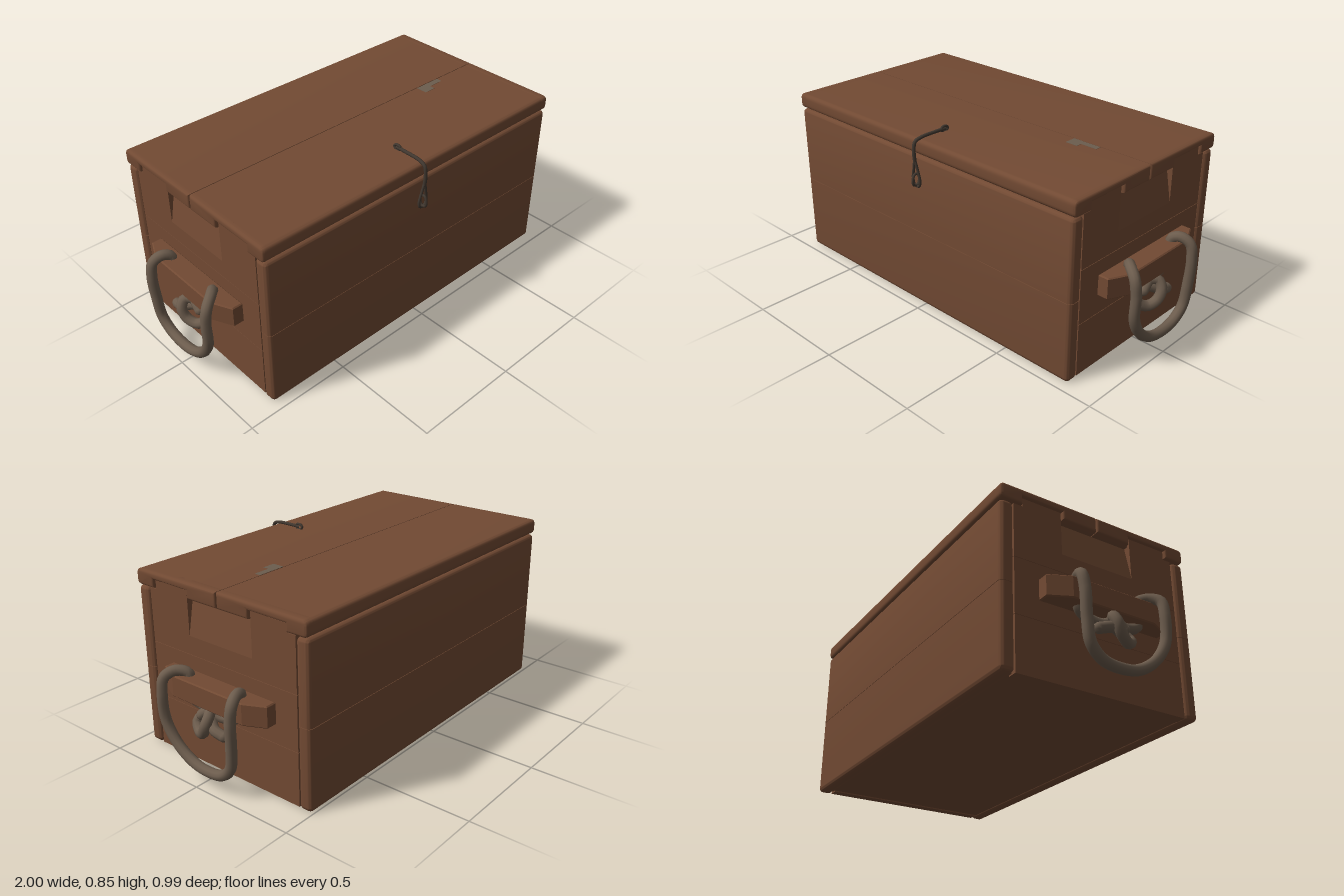
import * as THREE from 'three';
import { toCreasedNormals } from 'three/addons/utils/BufferGeometryUtils.js';
import { RoundedBoxGeometry } from 'three/addons/geometries/RoundedBoxGeometry.js';

const material = (name, color) => {
  const m = new THREE.MeshStandardMaterial({ color });
  m.name = name;
  return m;
};

export function createModel() {
  const wood = material('brown wood', 0x724a33);
  const rope = material('grey brown rope', 0x6c5c4d);
  const iron = material('dark iron', 0x40372f);
  const worn = material('worn wood', 0x6b5d4e);

  const chest = new THREE.Group();
  chest.name = 'chest';
  const add = (name, geometry, mat, parent = chest) => {
    const mesh = new THREE.Mesh(geometry, mat);
    mesh.name = name;
    parent.add(mesh);
    return mesh;
  };
  const box = (x0, x1, y0, y1, z0, z1) =>
    new THREE.BoxGeometry(x1 - x0, y1 - y0, z1 - z0)
      .translate((x0 + x1) / 2, (y0 + y1) / 2, (z0 + z1) / 2);

  // Extrude a (z, y) outline along x, with optional rounded ends
  const alongX = (shape, x0, x1, bevel = 0) => {
    const g = new THREE.ExtrudeGeometry(shape, {
      depth: x1 - x0 - 2 * bevel, bevelEnabled: bevel > 0, bevelThickness: bevel,
      bevelSize: bevel, bevelOffset: -bevel, bevelSegments: 3, curveSegments: 5,
    });
    g.translate(0, 0, bevel).rotateY(-Math.PI / 2).translate(x1, 0, 0);
    return toCreasedNormals(g, 0.6);
  };
  const polygon = (points) => new THREE.Shape(points.map((p) => new THREE.Vector2(...p)));

  // Long board: rounded everywhere except the edge at the seam, which is cut flat
  const longBoard = (y0, y1, z0, z1, seamOnTop) => {
    const r = 0.02;
    const lo = seamOnTop ? y0 : y0 - r, hi = seamOnTop ? y1 + r : y1;
    const g = new RoundedBoxGeometry(1.7, hi - lo, z1 - z0, 4, r);
    g.translate(0, (lo + hi) / 2, (z0 + z1) / 2);
    const p = g.attributes.position;
    for (let i = 0; i < p.count; i++) p.setY(i, THREE.MathUtils.clamp(p.getY(i), y0, y1));
    return toCreasedNormals(g, 0.6);
  };
  for (const [name, z0, z1] of [['front', 0.392, 0.455], ['back', -0.495, -0.432]]) {
    add(name + 'LowerBoard', longBoard(0.003, 0.374, z0, z1, true), wood);
    add(name + 'UpperBoard', longBoard(0.376, 0.745, z0, z1, false), wood);
  }
  add('floor', box(-0.815, 0.815, 0.012, 0.05, -0.435, 0.395), wood);

  // Lid halves: a plain middle slab and end pieces notched over the end tabs
  const lidShape = (inner, outer, notch) => {
    const s = Math.sign(outer - inner), r = 0.022, y0 = 0.75, y1 = 0.82;
    const shape = new THREE.Shape();
    shape.moveTo(inner, y0);
    if (notch) {
      shape.lineTo(notch[0], y0);
      shape.lineTo(notch[0], 0.787);
      shape.lineTo(notch[1], 0.787);
      shape.lineTo(notch[1], y0);
    }
    shape.lineTo(outer - s * r, y0);
    shape.quadraticCurveTo(outer, y0, outer, y0 + r);
    shape.lineTo(outer, y1 - r);
    shape.quadraticCurveTo(outer, y1, outer - s * r, y1);
    shape.lineTo(inner, y1);
    shape.closePath();
    return shape;
  };
  for (const [name, inner, outer, notch] of [
    ['frontLid', -0.0185, 0.455, [0.152, 0.353]],
    ['backLid', -0.0215, -0.495, [-0.193, -0.389]],
  ]) {
    add(name + 'Slab', alongX(lidShape(inner, outer), -0.828, 0.828), wood);
    for (const [x0, x1] of [[0.8, 0.855], [-0.855, -0.8]]) {
      add(name + 'NotchedEnd', alongX(lidShape(inner, outer, notch), x0, x1, 0.012), wood);
    }
  }

  // Worn patches on the lid
  add('lidWornPatch', box(0.46, 0.6, 0.8195, 0.821, -0.017, 0.012), worn);
  add('lidWornPatchTip', box(0.46, 0.52, 0.8195, 0.821, 0.012, 0.04), worn);

  for (const side of [1, -1]) {
    const end = new THREE.Group();
    end.name = side > 0 ? 'leftEnd' : 'rightEnd';
    chest.add(end);
    const span = (a, b) => (side > 0 ? [a, b] : [-b, -a]);
    const [x0, x1] = span(0.8, 0.842);

    // End boards, the top one with two tabs and a sloping finger scoop
    add('endLowerBoard', box(x0, x1, 0.006, 0.249, -0.428, 0.388), wood, end);
    add('endMiddleBoard', box(x0, x1, 0.251, 0.499, -0.428, 0.388), wood, end);
    add('endTopBoard', alongX(polygon([
      [0.388, 0.501], [0.388, 0.745], [0.35, 0.745], [0.35, 0.784], [0.16, 0.784], [0.16, 0.585],
      [-0.198, 0.585], [-0.198, 0.784], [-0.386, 0.784], [-0.386, 0.745], [-0.428, 0.745], [-0.428, 0.501],
    ]), x0, x1), wood, end);
    const scoop = box(...span(0.79, 0.842), 0.585, 0.76, -0.198, 0.16);
    const p = scoop.attributes.position;
    for (let i = 0; i < p.count; i++) {
      if (p.getY(i) > 0.7 && Math.abs(p.getX(i)) > 0.83) p.setX(i, side * 0.808);
    }
    scoop.computeVertexNormals();
    add('fingerScoop', scoop, wood, end);

    // Cleat with chamfered ends
    const cleat = new THREE.ExtrudeGeometry(polygon([
      [0.84, 0.315], [0.89, 0.315], [0.935, 0.22], [0.935, -0.18], [0.89, -0.275], [0.84, -0.275],
    ].map(([x, y]) => [side * x, y])), {
      depth: 0.088, bevelEnabled: true, bevelSize: 0.005, bevelOffset: -0.005,
      bevelThickness: 0.005, bevelSegments: 1,
    });
    cleat.rotateX(-Math.PI / 2).translate(0, 0.341, 0);
    add('handleCleat', cleat, wood, end);

    // Rope: tail, knot, up through the cleat, hanging loop, back down into the knot
    const path = [
      [0.925, 0.243, -0.1], [0.93, 0.258, -0.055], [0.9, 0.285, 0], [0.885, 0.278, 0.045],
      [0.9, 0.245, 0.078], [0.925, 0.217, 0.04], [0.945, 0.235, -0.003], [0.95, 0.28, -0.025],
      [0.925, 0.318, -0.025], [0.89, 0.315, 0.02], [0.875, 0.313, 0.08], [0.88, 0.335, 0.135],
      [0.885, 0.39, 0.13], [0.885, 0.44, 0.132], [0.92, 0.455, 0.17], [0.962, 0.43, 0.198],
      [0.976, 0.36, 0.2], [0.972, 0.24, 0.193], [0.967, 0.15, 0.14], [0.963, 0.09, 0.055],
      [0.963, 0.074, -0.03], [0.963, 0.088, -0.12], [0.967, 0.14, -0.175], [0.972, 0.24, -0.192],
      [0.976, 0.36, -0.197], [0.962, 0.43, -0.197], [0.92, 0.455, -0.183], [0.885, 0.44, -0.17],
      [0.885, 0.39, -0.165], [0.88, 0.335, -0.155], [0.875, 0.305, -0.11], [0.88, 0.295, -0.05],
      [0.9, 0.31, 0.01], [0.905, 0.285, 0.045],
    ].map(([x, y, z]) => new THREE.Vector3(side * x, y, z));
    add('ropeHandle', new THREE.TubeGeometry(new THREE.CatmullRomCurve3(path), 150, 0.0235, 10), rope, end);
    for (const tip of [path[0], path[path.length - 1]]) {
      add('ropeTip', new THREE.SphereGeometry(0.0233, 10, 6).translate(tip.x, tip.y, tip.z), rope, end);
    }
  }

  // Latch: bent wire over the lid edge ending in a drop-shaped loop, held by two eyes
  const latch = new THREE.Group();
  latch.name = 'latch';
  latch.position.x = -0.006;
  chest.add(latch);
  const wire = (name, points, closed, radius) => add(name, new THREE.TubeGeometry(
    new THREE.CatmullRomCurve3(points.map((q) => new THREE.Vector3(...q)), closed), 48, radius, 8, closed), iron, latch);
  wire('latchWire', [
    [0.006, 0.83, 0.3], [0.005, 0.831, 0.36], [0.003, 0.828, 0.44], [0, 0.815, 0.471],
    [0, 0.77, 0.479], [0, 0.72, 0.475],
  ], false, 0.008);
  wire('latchLoop', [
    [0, 0.73, 0.476], [0.012, 0.69, 0.473], [0.022, 0.64, 0.47], [0.014, 0.612, 0.469],
    [-0.014, 0.612, 0.469], [-0.022, 0.64, 0.47], [-0.012, 0.69, 0.473],
  ], true, 0.006);
  wire('frontEye', [
    [0, 0.615, 0.468], [0, 0.62, 0.487], [0, 0.645, 0.491], [0, 0.667, 0.48], [0, 0.662, 0.46], [0, 0.635, 0.455],
  ], true, 0.006);
  wire('lidEye', [
    [0.006, 0.818, 0.315], [0.006, 0.838, 0.321], [0.006, 0.842, 0.3], [0.006, 0.832, 0.287], [0.006, 0.82, 0.295],
  ], true, 0.006);

  return chest;
}
